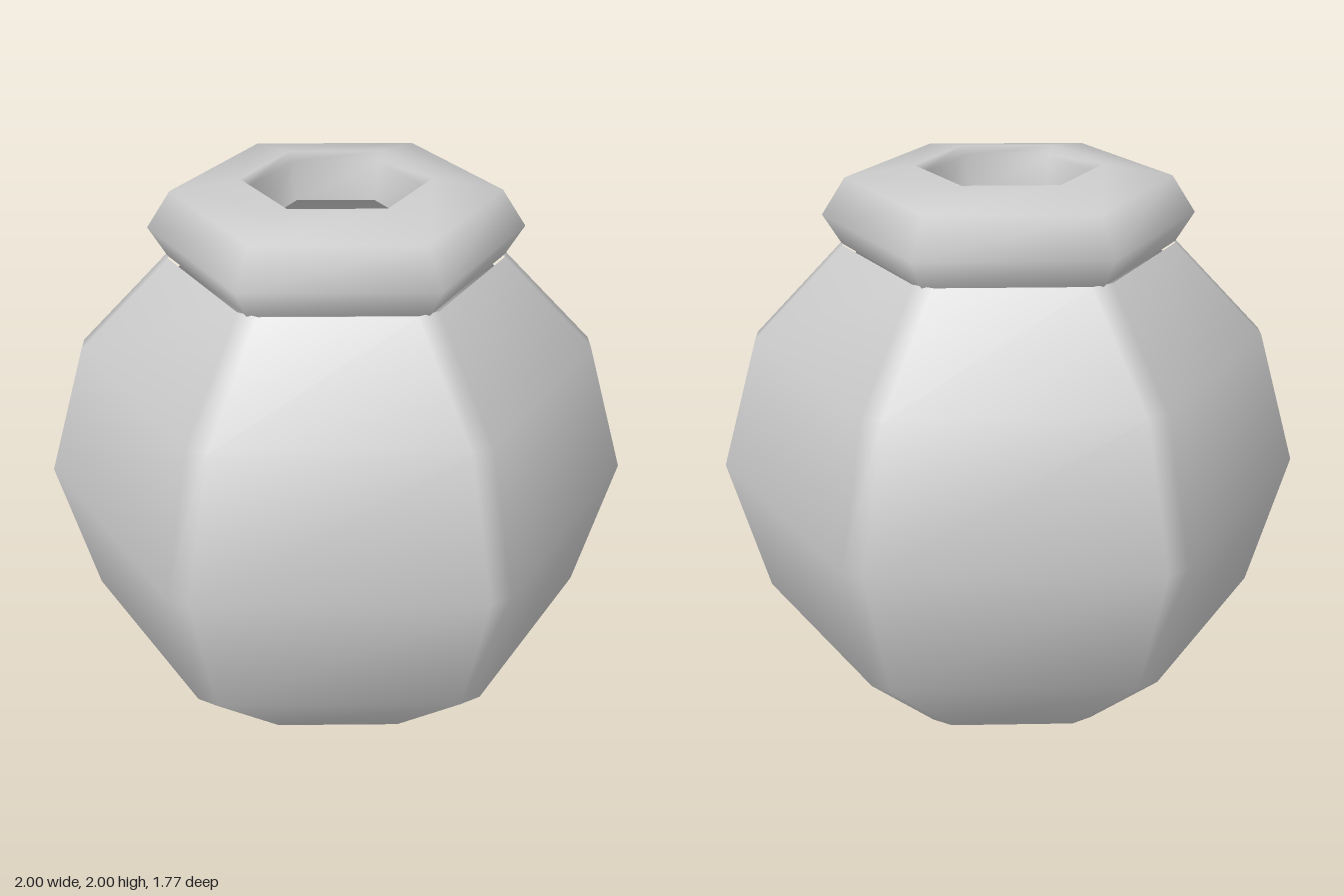
import * as THREE from 'three';

const material = new THREE.MeshStandardMaterial({ color: 0xcccccc });

// One hexagonal ring (corner on +x). cut > 0 chamfers every corner.
function hexRing(radius, y, cut) {
  const points = [];
  const d = Math.min(cut, radius * 0.24);
  for (let k = 0; k < 6; k++) {
    const a = (k * Math.PI) / 3;
    for (const side of cut > 0 ? [-1, 1] : [0]) {
      const u = radius - d;
      const v = side * d * Math.sqrt(3);
      points.push([
        u * Math.cos(a) - v * Math.sin(a),
        y,
        -(u * Math.sin(a) + v * Math.cos(a)),
      ]);
    }
  }
  return points;
}

// Skin of hexagonal rings along a profile of [corner radius, y];
// shared vertices give smooth normals weighted towards the large faces.
function hexShell(name, profile, cut = 0) {
  const n = cut > 0 ? 12 : 6;
  const positions = profile.flatMap(([r, y]) => hexRing(r, y, cut).flat());
  const index = [];
  for (let j = 0; j < profile.length - 1; j++) {
    for (let k = 0; k < n; k++) {
      const a = j * n + k;
      const b = j * n + ((k + 1) % n);
      index.push(a, b, b + n, a, b + n, a + n);
    }
  }
  const geometry = new THREE.BufferGeometry();
  geometry.setAttribute('position', new THREE.Float32BufferAttribute(positions, 3));
  geometry.setIndex(index);
  geometry.computeVertexNormals();
  const mesh = new THREE.Mesh(geometry, material);
  mesh.name = name;
  return mesh;
}

export function createModel() {
  const group = new THREE.Group();
  group.name = 'hexagonalJar';
  const cut = 0.022;

  // Shallow underside with a small flat foot
  group.add(hexShell('base', [[0.001, 0], [0.092, 0], [0.513, 0.11]], cut));

  // Bulging six-sided wall with narrow chamfers
  group.add(hexShell('body', [
    [0.513, 0.11], [0.888, 0.46], [1.022, 0.94], [0.888, 1.41], [0.577, 1.74],
  ], cut));

  // Thick collar, rolling over into the mouth
  group.add(hexShell('rim', [
    [0.56, 1.735], [0.622, 1.835], [0.542, 1.96], [0.312, 2.0],
    [0.29, 1.97], [0.265, 1.84],
  ]));

  // Hollow inside, from the mouth down to the floor
  group.add(hexShell('interior', [
    [0.265, 1.84], [0.5, 1.72], [0.83, 1.39], [0.96, 0.94],
    [0.83, 0.49], [0.48, 0.16], [0.08, 0.05], [0.001, 0.05],
  ]));

  return group;
}
